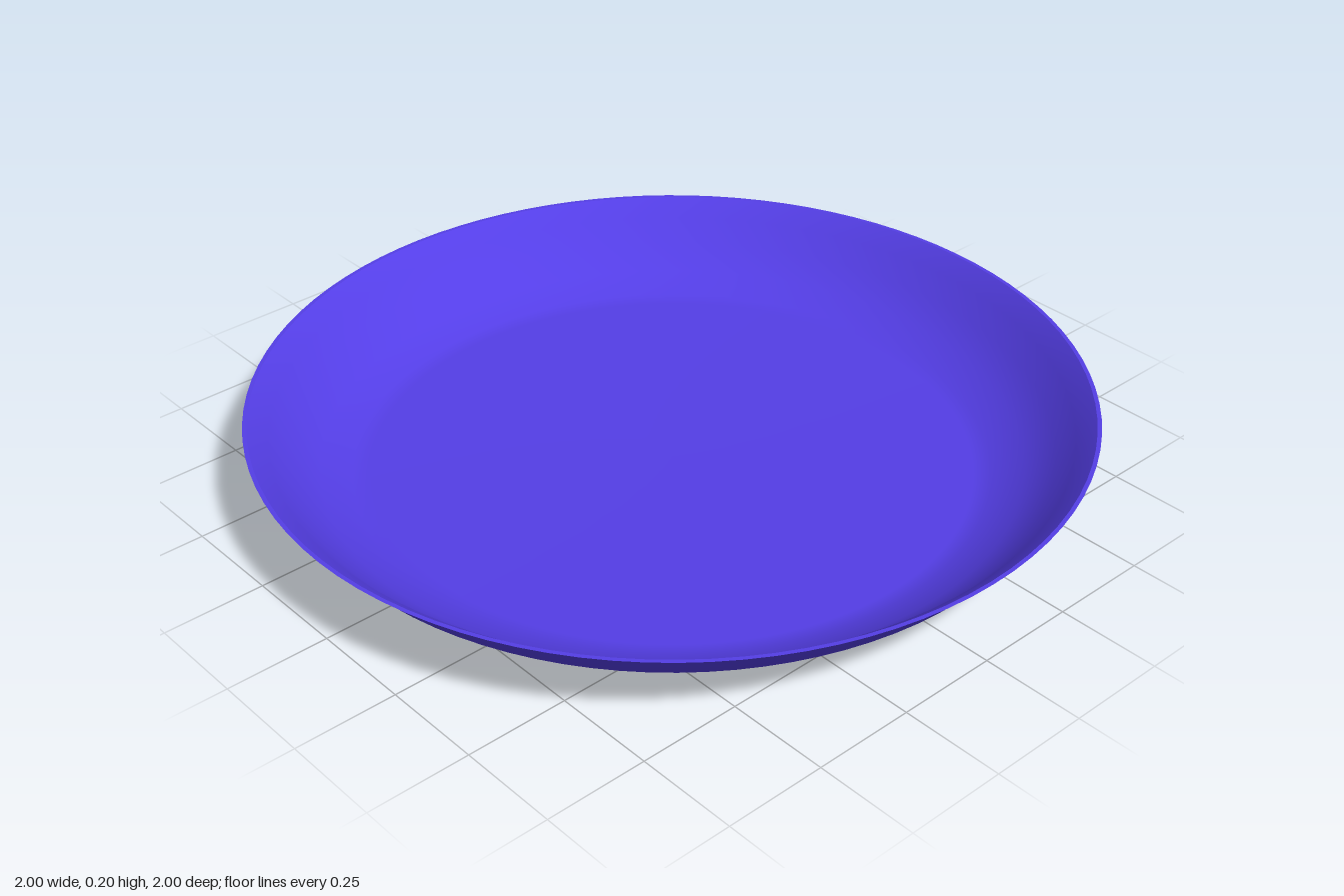
import * as THREE from 'three';

const SEGMENTS = 96;

// Revolve a [radius, height] profile around the y axis
function revolve(name, profile, material) {
  const points = profile.map(([r, y]) => new THREE.Vector2(r, y));
  const mesh = new THREE.Mesh(new THREE.LatheGeometry(points, SEGMENTS), material);
  mesh.name = name;
  return mesh;
}

export function createModel() {
  const plate = new THREE.Group();
  plate.name = 'plate';
  const glaze = new THREE.MeshStandardMaterial({ color: 0x543ee6, side: THREE.DoubleSide });

  // Flat foot, small step, then the flaring outer wall up to the thin rim
  plate.add(revolve('underside', [
    [0, 0], [0.69, 0], [0.72, 0.014], [0.76, 0.018],
    [0.84, 0.052], [0.91, 0.105], [0.95, 0.157], [1, 0.205],
  ], glaze));

  // Narrow lip joining the outer wall to the eating surface
  plate.add(revolve('rim', [[1, 0.205], [0.99, 0.205]], glaze));

  // Inner wall curving down into the flat floor
  plate.add(revolve('eatingSurface', [
    [0.99, 0.205], [0.945, 0.165], [0.903, 0.113],
    [0.835, 0.062], [0.76, 0.03], [0.72, 0.024], [0, 0.02],
  ], glaze));

  return plate;
}
